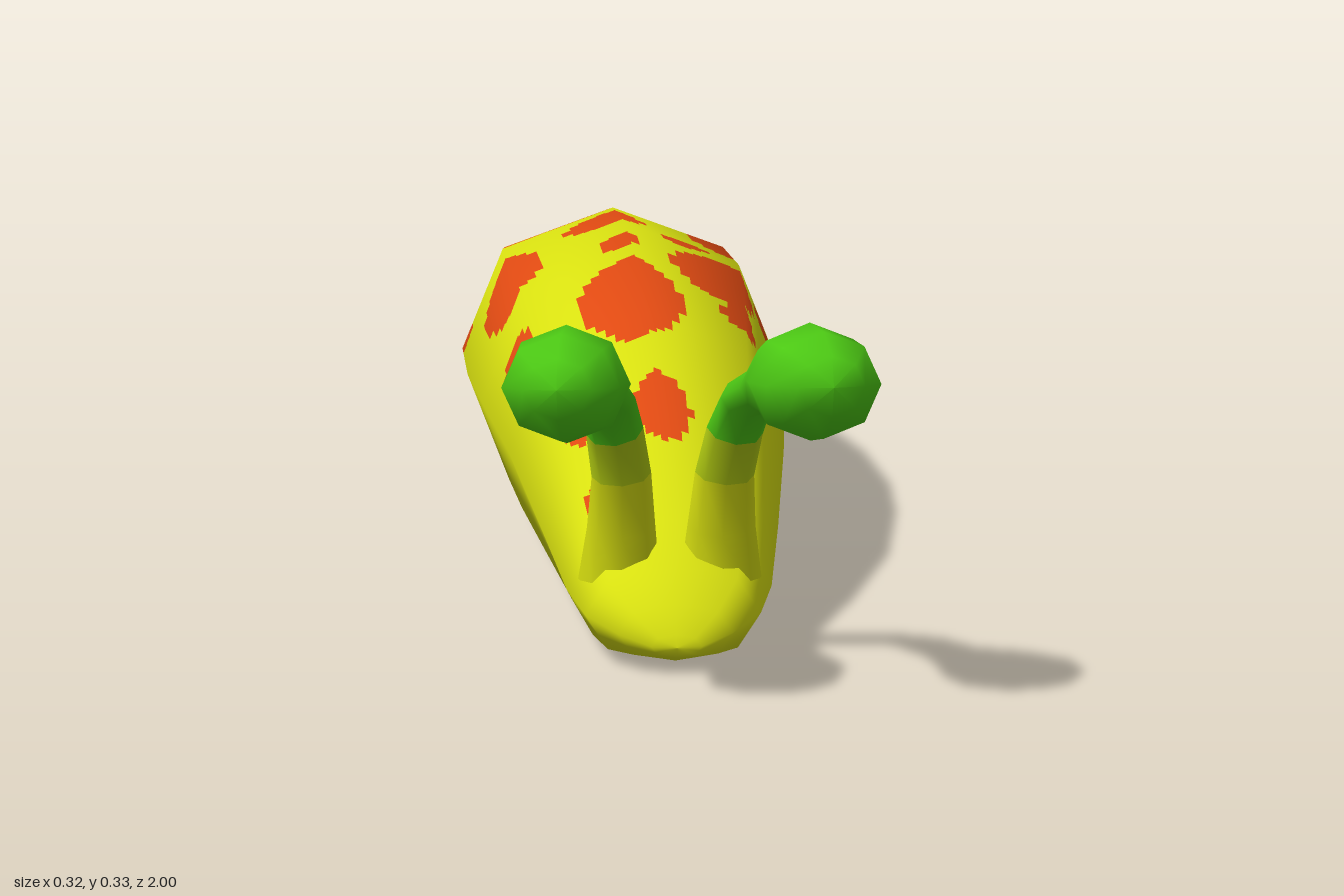
import * as THREE from 'three';

const material = (name, color) => {
  const m = new THREE.MeshStandardMaterial({ color });
  m.name = name;
  return m;
};

// Joins closed rings of points into a smooth skin; pick(i, j) chooses the material of each cell
function loft(rings, pick, materialCount, normals) {
  const n = rings[0].length;
  const buckets = Array.from({ length: materialCount }, () => []);
  for (let i = 0; i < rings.length - 1; i++) {
    for (let j = 0; j < n; j++) {
      const a = i * n + j, c = i * n + (j + 1) % n;
      buckets[pick(i, j)].push(a, c, a + n, c, c + n, a + n);
    }
  }
  const geo = new THREE.BufferGeometry().setFromPoints(rings.flat());
  geo.setIndex(buckets.flat());
  let start = 0;
  buckets.forEach((b, k) => {
    geo.addGroup(start, b.length, k);
    start += b.length;
  });
  if (normals) {
    geo.setAttribute('normal', new THREE.Float32BufferAttribute(normals.flatMap(v => v.toArray()), 3));
  } else geo.computeVertexNormals();
  return geo;
}

// Body sections from head to tail: z, half width, bottom, top
const SECTIONS = [
  [0.80, 0, 0.027, 0.027], [0.797, 0.022, 0.018, 0.038], [0.782, 0.05, 0.012, 0.062],
  [0.75, 0.077, 0.006, 0.09], [0.70, 0.091, 0.004, 0.12], [0.58, 0.108, 0.003, 0.185],
  [0.40, 0.13, 0.003, 0.26], [0.20, 0.15, 0.003, 0.292], [0.05, 0.16, 0.003, 0.30],
  [-0.15, 0.16, 0.003, 0.29], [-0.30, 0.15, 0.003, 0.268], [-0.50, 0.127, 0.003, 0.215],
  [-0.68, 0.10, 0.003, 0.163], [-0.90, 0.055, 0.01, 0.10], [-0.96, 0.034, 0.013, 0.072],
  [-0.998, 0.004, 0.018, 0.05], [-1.0, 0, 0.035, 0.035],
];
// Eight-sided cross-section, from the top round by the left side
const PROFILE = [[0, 1], [0.73, 0.85], [1, 0.48], [0.74, 0.115], [0, 0], [-0.74, 0.115], [-1, 0.48], [-0.73, 0.85]];

// Spots: position around (in profile sides from the ridge), z, and the two radii
const SPOTS = [
  [-0.7, -0.85, 0.3, 0.055], [-0.35, -0.67, 0.75, 0.085], [0.35, -0.54, 0.13, 0.018],
  [-0.63, -0.48, 0.4, 0.06], [0.67, -0.45, 0.38, 0.05], [-1.35, -0.4, 0.45, 0.09],
  [-0.09, -0.3, 0.64, 0.105], [-1.0, -0.215, 0.35, 0.065], [1.2, -0.32, 0.25, 0.04],
  [1.12, -0.115, 0.45, 0.12], [-0.13, -0.055, 0.35, 0.065], [-1.15, 0.06, 0.42, 0.115],
  [-0.1, 0.13, 0.19, 0.035], [0.52, 0.035, 0.22, 0.028], [0.8, 0.165, 0.45, 0.09],
  [-0.1, 0.325, 0.5, 0.11], [-1.4, 0.3, 0.3, 0.055], [1.0, 0.29, 0.22, 0.04],
  [1.55, 0.09, 0.22, 0.038], [1.8, -0.01, 0.13, 0.022], [-0.85, 0.475, 0.35, 0.095],
  [0.06, 0.545, 0.32, 0.052], [-0.7, 0.655, 0.3, 0.028], [-1.6, -0.57, 0.2, 0.03],
  [-1.95, -0.14, 0.2, 0.03],
];

function bodyGeometry() {
  const coarse = SECTIONS.map(([z, w, lo, hi]) =>
    PROFILE.map(([px, py]) => new THREE.Vector3(px * w, lo + py * (hi - lo), z)));
  const coarseNormal = loft(coarse, () => 0, 1).getAttribute('normal');
  const normalAt = (i, j) => new THREE.Vector3().fromBufferAttribute(coarseNormal, i * 8 + j);

  // Subdivide the coarse skin without changing its shape so spots can be cut from its faces
  const AROUND = 12, rings = [], normals = [];
  const blend = (get, i, j, s, t) => {
    const k = (j + 1) % 8;
    const a = get(i, j).clone().lerp(get(i, k), t);
    return a.lerp(get(i + 1, j).clone().lerp(get(i + 1, k), t), s);
  };
  for (let i = 0; i < coarse.length - 1; i++) {
    const steps = Math.ceil((SECTIONS[i][0] - SECTIONS[i + 1][0]) / 0.007);
    const last = i === coarse.length - 2 ? 1 : 0;
    for (let r = 0; r < steps + last; r++) {
      const ring = [];
      for (let q = 0; q < 8 * AROUND; q++) {
        const j = Math.floor(q / AROUND), t = (q % AROUND) / AROUND, s = r / steps;
        ring.push(blend((a, b) => coarse[a][b], i, j, s, t));
        normals.push(blend(normalAt, i, j, s, t).normalize());
      }
      rings.push(ring);
    }
  }
  const inSpot = (i, q) => {
    let u = (q + 0.5) / AROUND;
    if (u > 4) u -= 8;
    const z = (rings[i][0].z + rings[i + 1][0].z) / 2;
    return SPOTS.some(([su, sz, ru, rz]) => ((u - su) / ru) ** 2 + ((z - sz) / rz) ** 2 < 1) ? 1 : 0;
  };
  return loft(rings, inSpot, 2, normals);
}

// Eye stalk stations: x, y, z, sideways radius, upright radius
const STALK = [
  [0.045, 0.07, 0.71, 0.036, 0.03], [0.044, 0.12, 0.727, 0.03, 0.021], [0.045, 0.17, 0.747, 0.026, 0.018],
  [0.052, 0.212, 0.768, 0.025, 0.018], [0.06, 0.245, 0.80, 0.024, 0.018], [0.072, 0.262, 0.85, 0.025, 0.02],
  [0.087, 0.274, 0.885, 0.04, 0.036], [0.101, 0.28, 0.925, 0.054, 0.049], [0.108, 0.284, 0.968, 0.049, 0.044],
  [0.112, 0.287, 0.995, 0.028, 0.025], [0.113, 0.287, 1.0, 0, 0],
];

function stalkGeometry(side) {
  const centres = STALK.map(([x, y, z]) => new THREE.Vector3(side * x, y, z));
  const rings = STALK.map(([, , , rx, ry], i) => {
    const along = centres[Math.min(i + 1, centres.length - 1)].clone().sub(centres[Math.max(i - 1, 0)]).normalize();
    const across = new THREE.Vector3(1, 0, 0).addScaledVector(along, -along.x).normalize();
    const up = along.clone().cross(across);
    return Array.from({ length: 8 }, (_, j) => {
      const a = j * Math.PI / 4;
      return centres[i].clone().addScaledVector(across, rx * Math.cos(a)).addScaledVector(up, ry * Math.sin(a));
    });
  });
  // Yellow foot, lime band, green eye
  return loft(rings, i => (i < 2 ? 0 : i < 3 ? 1 : 2), 3);
}

export function createModel() {
  const yellow = material('yellow skin', 0xd8e010);
  const orange = material('orange spots', 0xe04a12);
  const lime = material('lime band', 0xb2cc12);
  const green = material('green eye', 0x4cc814);

  const slug = new THREE.Group();
  slug.name = 'slug';

  const body = new THREE.Mesh(bodyGeometry(), [yellow, orange]);
  body.name = 'spottedBody';
  slug.add(body);

  for (const [name, side] of [['leftEyeStalk', 1], ['rightEyeStalk', -1]]) {
    const stalk = new THREE.Mesh(stalkGeometry(side), [yellow, lime, green]);
    stalk.name = name;
    slug.add(stalk);
  }
  return slug;
}
